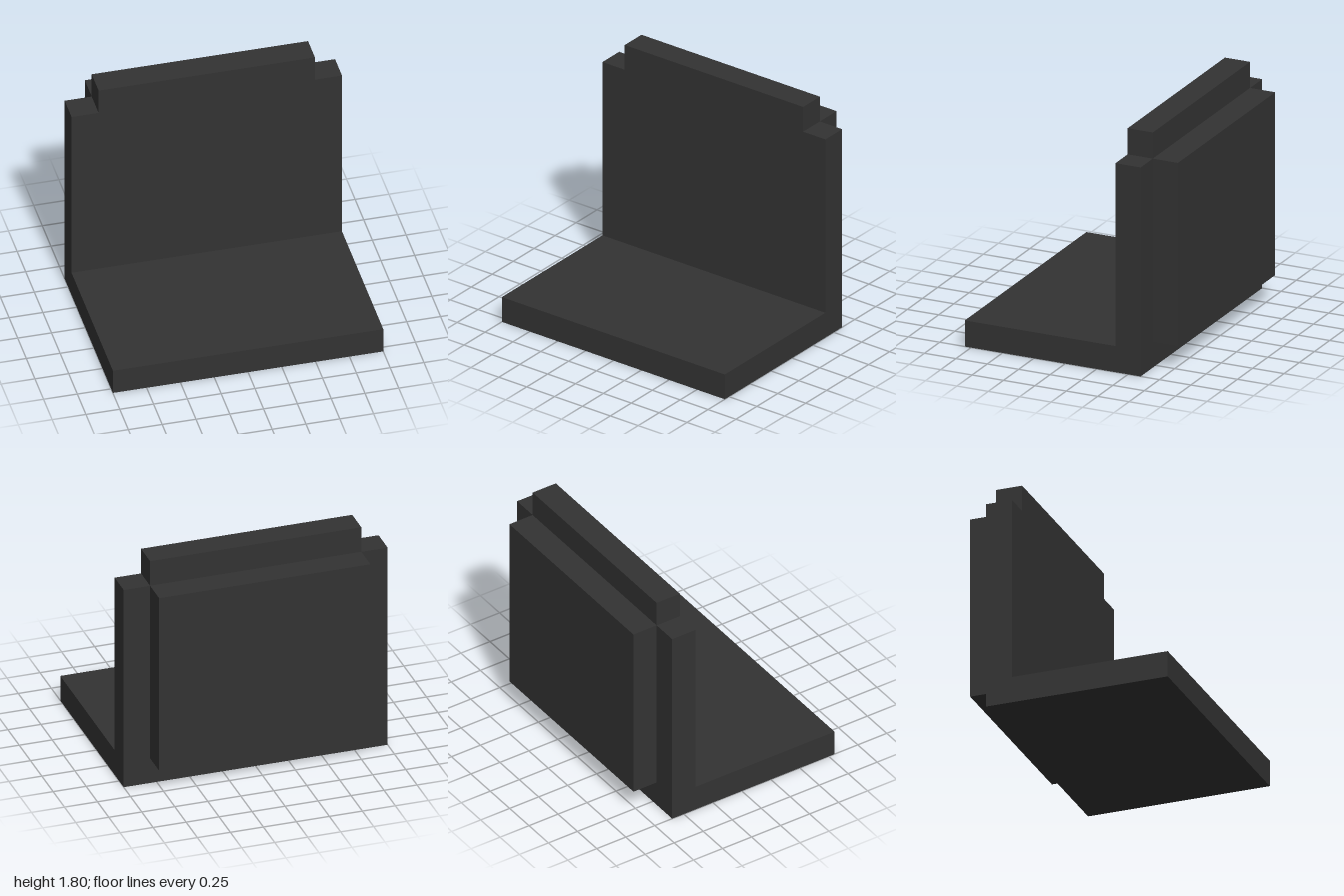
import * as THREE from 'three';

export function createModel() {
  const group = new THREE.Group();
  group.name = 'seatModel';
  const charcoal = new THREE.MeshStandardMaterial({ color: 0x333333 });
  charcoal.name = 'charcoal';

  const add = (name, geometry) => {
    const mesh = new THREE.Mesh(geometry, charcoal);
    mesh.name = name;
    group.add(mesh);
    return mesh;
  };

  // L-shaped seat and backrest: side profile (-z, y) extruded across the width
  const profile = new THREE.Shape([
    [-0.8, 0], [0.6, 0], [0.6, 1.6], [0.4, 1.6], [0.4, 0.2], [-0.8, 0.2],
  ].map(([x, y]) => new THREE.Vector2(x, y)));
  const body = new THREE.ExtrudeGeometry(profile, { depth: 2, bevelEnabled: false });
  body.translate(0, 0, -1).rotateY(Math.PI / 2);
  add('seatAndBackrest', body);

  // Narrower ridge on top of the backrest
  add('topRidge', new THREE.BoxGeometry(1.6, 0.2, 0.2)).position.set(0, 1.7, -0.5);

  // Raised panel on the rear of the backrest
  add('rearPanel', new THREE.BoxGeometry(1.6, 1.4, 0.2)).position.set(0, 0.9, -0.7);

  return group;
}
